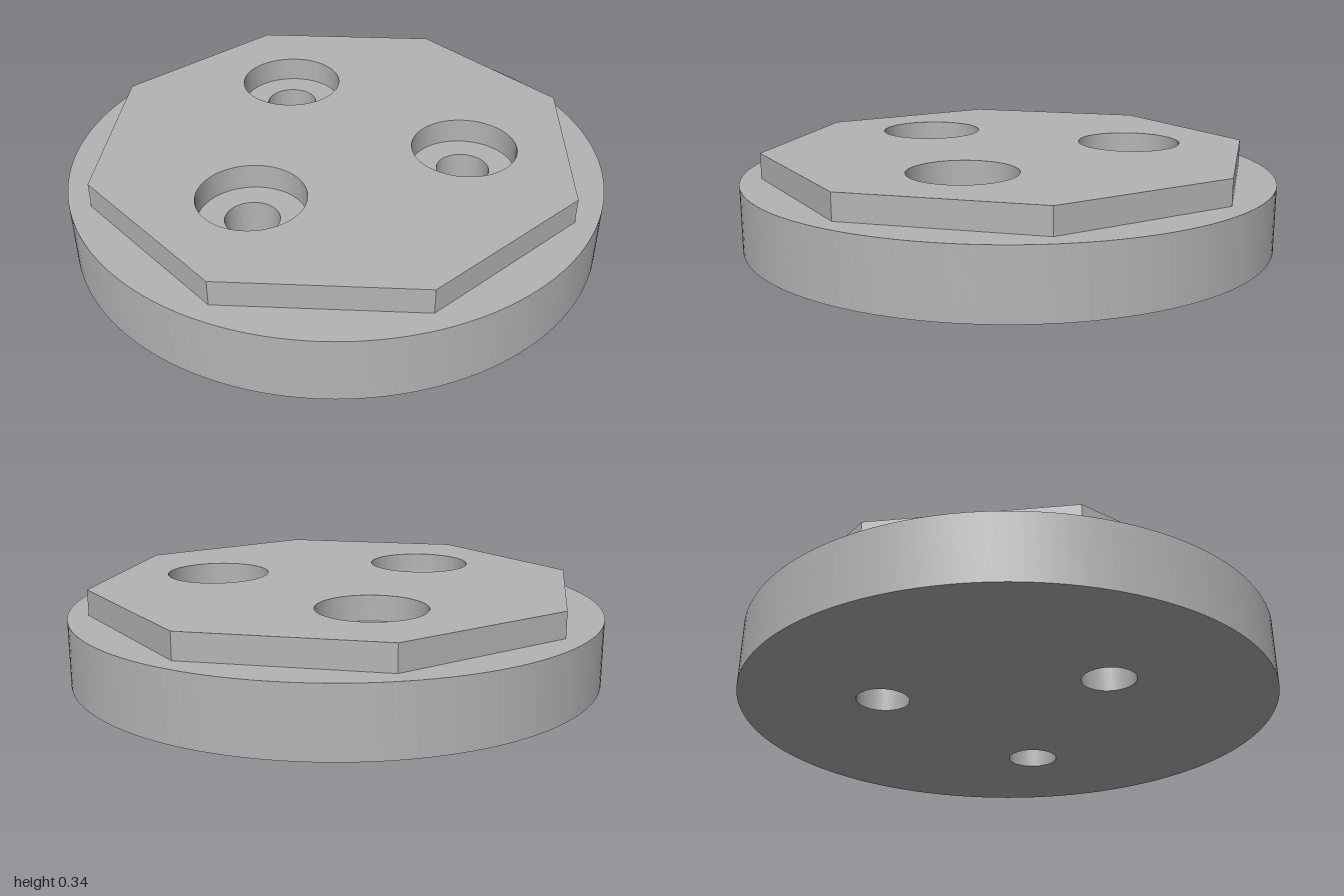
import * as THREE from 'three';
import { toCreasedNormals } from 'three/addons/utils/BufferGeometryUtils.js';

const DISC_HEIGHT = 0.245;
const PLATE_HEIGHT = 0.095;
const HOLE_RING = 0.48;

// Three hole centres, evenly spaced, the first towards the back
const holeCentres = [0, 1, 2].map((i) => {
  const a = Math.PI / 2 + (i * 2 * Math.PI) / 3;
  return [HOLE_RING * Math.cos(a), HOLE_RING * Math.sin(a)];
});

// Cuts the three round holes in an outline and extrudes it upwards
function drilledSlab(shape, holeRadius, height) {
  for (const [x, y] of holeCentres) {
    shape.holes.push(new THREE.Path().absarc(x, y, holeRadius, 0, Math.PI * 2, true));
  }
  const geometry = new THREE.ExtrudeGeometry(shape, {
    depth: height, bevelEnabled: false, curveSegments: 72,
  });
  geometry.rotateX(-Math.PI / 2);
  return toCreasedNormals(geometry, 0.5);
}

export function createModel() {
  const group = new THREE.Group();
  group.name = 'drilledFlange';

  const grey = new THREE.MeshStandardMaterial({ color: 0xb4b4b4 });
  grey.name = 'plain grey';

  // Round base with narrow through holes
  const circle = new THREE.Shape().absarc(0, 0, 1, 0, Math.PI * 2, false);
  const baseDisc = new THREE.Mesh(drilledSlab(circle, 0.098, DISC_HEIGHT), grey);
  baseDisc.name = 'baseDisc';
  group.add(baseDisc);

  // Slightly turned octagonal plate with wide counterbores
  const corners = [];
  for (let i = 0; i < 8; i++) {
    const a = -0.054 + (i * Math.PI) / 4;
    corners.push(new THREE.Vector2(0.925 * Math.cos(a), 0.925 * Math.sin(a)));
  }
  const plate = new THREE.Mesh(drilledSlab(new THREE.Shape(corners), 0.195, PLATE_HEIGHT), grey);
  plate.name = 'octagonalPlate';
  plate.position.y = DISC_HEIGHT;
  group.add(plate);

  return group;
}
